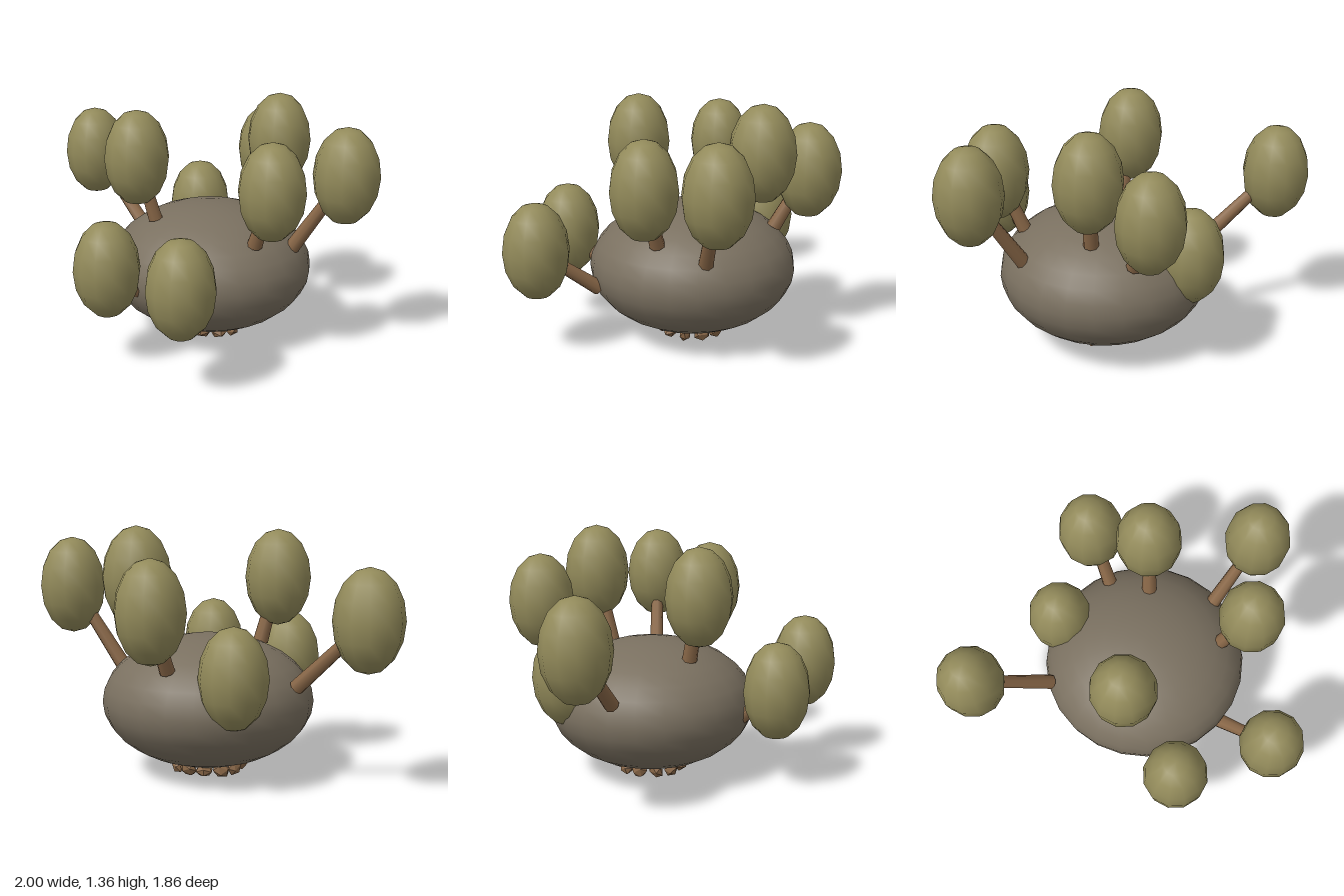
import * as THREE from 'three';

const mat = (name, color, flatShading = false) => {
  const m = new THREE.MeshStandardMaterial({ color, flatShading });
  m.name = name;
  return m;
};

export function createModel() {
  const model = new THREE.Group();
  const stone = mat('greyBrownSkin', 0x7a7060);
  const olive = mat('olivePod', 0x928a5a);
  const bark = mat('brownStem', 0x8a6848);
  const chunkBark = bark;
  const centre = new THREE.Vector3(0.033, 0.405, -0.155);

  const add = (name, geometry, material, parent = model) => {
    const mesh = new THREE.Mesh(geometry, material);
    mesh.name = name;
    parent.add(mesh);
    return mesh;
  };

  // Squashed round body
  const body = add('body', new THREE.SphereGeometry(1, 24, 16), stone);
  body.scale.set(0.577, 0.36, 0.577);
  body.position.copy(centre);

  // Each stalk: pod centre, then stem base on the body
  const stalks = [
    [[-0.82, 0.91, -0.61], [-0.46, 0.53, -0.42]],
    [[-0.155, 0.61, -0.64], [-0.11, 0.45, -0.55]],
    [[0.243, 0.955, -0.755], [0.19, 0.63, -0.58]],
    [[0.37, 1.095, -0.43], [0.29, 0.7, -0.355]],
    [[0.812, 1.01, -0.027], [0.52, 0.565, -0.07]],
    [[0.463, 0.97, 0.245], [0.355, 0.635, 0.145]],
    [[-0.333, 1.057, 0.055], [-0.24, 0.7, 0.02]],
    [[-0.375, 0.547, 0.47], [-0.25, 0.37, 0.3]],
    [[0.11, 0.585, 0.745], [0.08, 0.33, 0.4]],
  ];
  const podGeometry = new THREE.SphereGeometry(1, 12, 8).scale(0.182, 0.267, 0.182);
  const up = new THREE.Vector3(0, 1, 0);
  for (const [podAt, baseAt] of stalks) {
    const stalk = new THREE.Group();
    stalk.name = 'stalk';
    model.add(stalk);
    const top = new THREE.Vector3(...podAt);
    const base = new THREE.Vector3(...baseAt);
    const along = top.clone().sub(base);
    const stem = add('stem', new THREE.CylinderGeometry(0.03, 0.042, along.length(), 8), bark, stalk);
    stem.position.copy(base).add(top).multiplyScalar(0.5);
    stem.quaternion.setFromUnitVectors(up, along.normalize());
    add('pod', podGeometry, olive, stalk).position.copy(top);
  }

  // Ragged ring of small chunks underneath
  const ring = new THREE.Group();
  ring.name = 'footRing';
  ring.position.set(centre.x, 0.046, centre.z);
  model.add(ring);
  const chunkGeometry = new THREE.IcosahedronGeometry(0.042, 0).toNonIndexed();
  chunkGeometry.computeVertexNormals();
  const count = 12;
  for (let i = 0; i < count; i++) {
    const a = (i / count) * Math.PI * 2;
    const chunk = add('footChunk', chunkGeometry, chunkBark, ring);
    chunk.position.set(Math.cos(a) * 0.178, 0, Math.sin(a) * 0.178);
    chunk.rotation.set(i * 1.7, -a, i * 2.3);
    chunk.scale.set(0.8, 1.05, 1.2);
  }
  return model;
}
